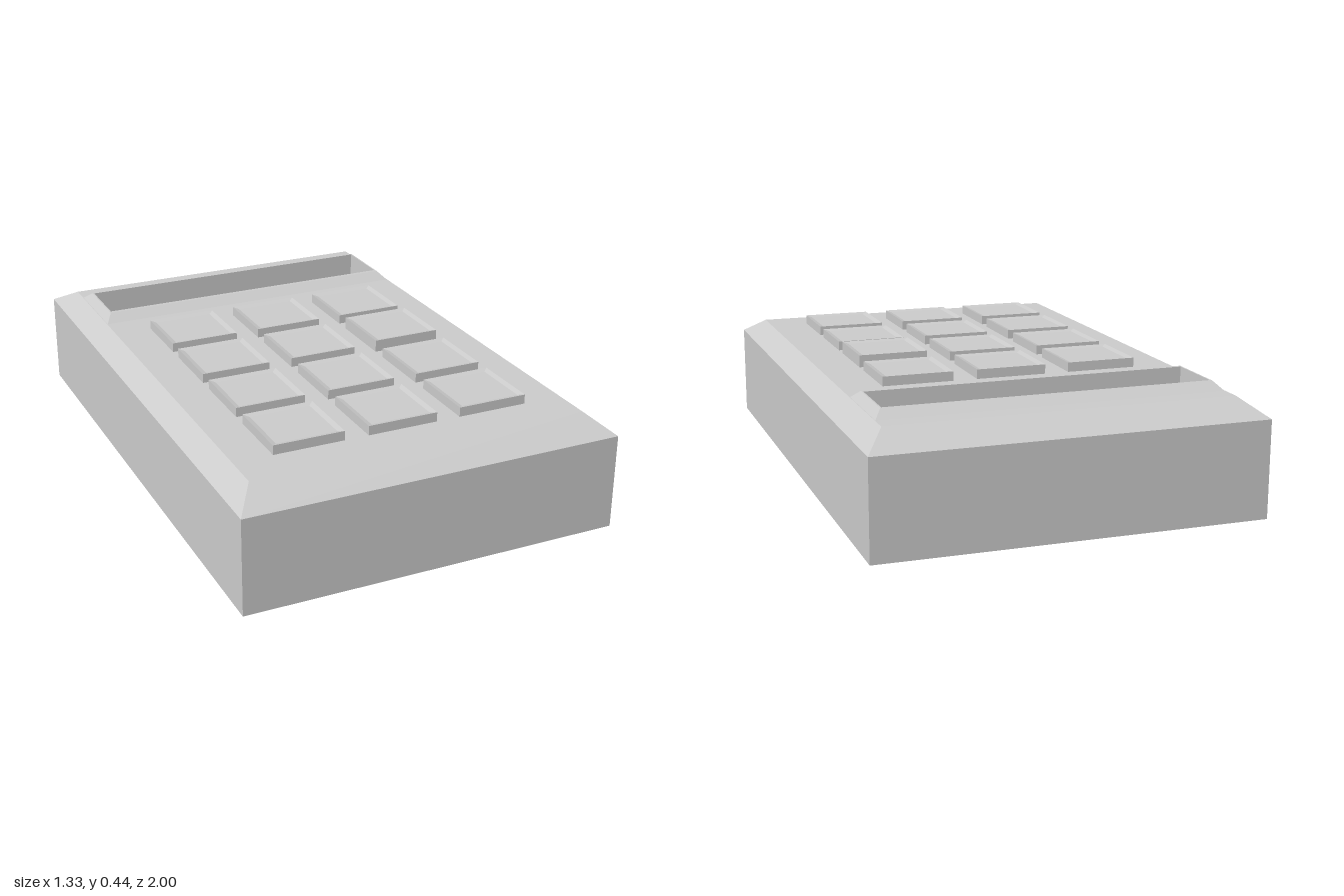
import * as THREE from 'three';

const material = new THREE.MeshStandardMaterial({ color: 0xcccccc, flatShading: true });

// Skin stacked rectangles [halfWidth, zBack, zFront, y]; optionally cap the first or last one
function rectLoft(rings, { bottom = false, top = false } = {}) {
  const pos = [];
  const corners = ([x, zb, zf, y]) => [[-x, y, zf], [x, y, zf], [x, y, zb], [-x, y, zb]];
  const quad = (a, b, c, d) => pos.push(...a, ...b, ...c, ...a, ...c, ...d);
  for (let r = 0; r < rings.length - 1; r++) {
    const lo = corners(rings[r]), hi = corners(rings[r + 1]);
    for (let i = 0; i < 4; i++) {
      const j = (i + 1) % 4;
      quad(lo[i], lo[j], hi[j], hi[i]);
    }
  }
  if (bottom) quad(...corners(rings[0]).reverse());
  if (top) quad(...corners(rings[rings.length - 1]));
  const geo = new THREE.BufferGeometry();
  geo.setAttribute('position', new THREE.Float32BufferAttribute(pos, 3));
  geo.computeVertexNormals();
  return geo;
}

// Rectangle outline drawn in x and -z, ready to be laid flat
function rectPath(Type, x, zb, zf) {
  const p = new Type();
  p.moveTo(-x, -zf);
  p.lineTo(x, -zf);
  p.lineTo(x, -zb);
  p.lineTo(-x, -zb);
  p.closePath();
  return p;
}

export function createModel() {
  const group = new THREE.Group();
  const add = (name, geo, parent = group) => {
    const mesh = new THREE.Mesh(geo, material);
    mesh.name = name;
    parent.add(mesh);
    return mesh;
  };
  const deckY = 0.393;

  // Case with sloped shoulders
  add('case', rectLoft([
    [0.667, -1, 1, 0],
    [0.667, -1, 1, 0.335],
    [0.595, -0.89, 0.89, deckY],
  ], { bottom: true }));

  // Flat deck, open where the display sits
  const deckShape = rectPath(THREE.Shape, 0.595, -0.89, 0.89);
  deckShape.holes.push(rectPath(THREE.Path, 0.593, -0.815, -0.503));
  add('deck', new THREE.ShapeGeometry(deckShape).rotateX(-Math.PI / 2).translate(0, deckY, 0));

  // Raised bezel falling into the recessed display
  add('displayBezel', rectLoft([
    [0.593, -0.815, -0.503, deckY],
    [0.567, -0.777, -0.543, 0.421],
    [0.562, -0.771, -0.557, 0.421],
    [0.562, -0.771, -0.557, 0.335],
  ], { top: true }));

  // Keypad of 3 x 4 dished keys; one key stands slightly proud
  const keypad = new THREE.Group();
  keypad.name = 'keypad';
  group.add(keypad);
  const h = 0.124;
  for (let row = 0; row < 4; row++) {
    for (let col = 0; col < 3; col++) {
      const y = row === 1 && col === 2 ? 0.436 : 0.426;
      const key = add(`key${row * 3 + col + 1}`, rectLoft([
        [h, -h, h, 0.385],
        [h, -h, h, y],
        [h - 0.018, -h + 0.018, h - 0.018, y - 0.005],
      ], { bottom: true, top: true }), keypad);
      key.position.set(-0.336 + col * 0.333, 0, -0.27 + row * 0.302);
    }
  }
  return group;
}
